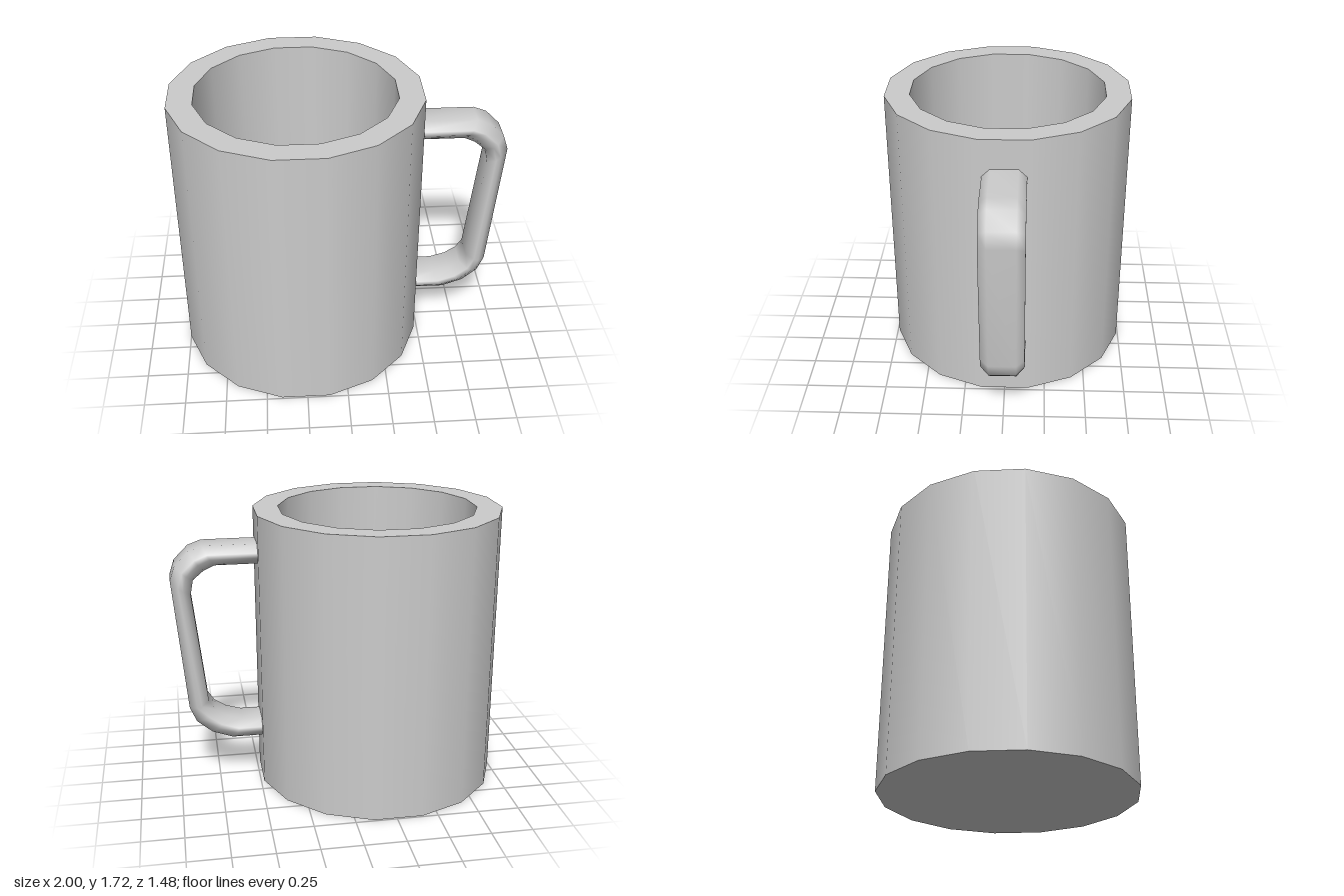
import * as THREE from 'three';

const material = new THREE.MeshStandardMaterial({ color: 0xcccccc });
const SIDES = 16, CENTRE_X = -0.26;

// Cup: one lathe per profile segment, so the rims stay sharp and the walls smooth
function createCup() {
  const cup = new THREE.Group();
  cup.name = 'cup';
  const outer = 0.755, inner = 0.602, height = 1.72, floor = 0.15;
  const profile = [[0, 0], [outer, 0], [outer, height], [inner, height], [inner, floor], [0, floor]]
    .map(([r, y]) => new THREE.Vector2(r, y));
  const names = ['base', 'outerWall', 'rim', 'innerWall', 'innerFloor'];
  names.forEach((name, i) => {
    const geometry = new THREE.LatheGeometry([profile[i], profile[i + 1]], SIDES, Math.PI / SIDES);
    const mesh = new THREE.Mesh(geometry, material);
    mesh.name = name;
    cup.add(mesh);
  });
  cup.position.x = CENTRE_X;
  return cup;
}

// Handle: a chamfered flat strap swept through stations of outer and inner edge points
function createHandle() {
  const stations = [ // outer x, y, inner x, y
    [0.42, 1.54, 0.42, 1.42],
    [0.805, 1.54, 0.735, 1.42],
    [0.885, 1.51, 0.80, 1.39],
    [0.97, 1.425, 0.865, 1.335],
    [1.0, 1.335, 0.882, 1.245],
    [0.925, 0.515, 0.805, 0.55],
    [0.885, 0.42, 0.765, 0.49],
    [0.79, 0.34, 0.695, 0.445],
    [0.665, 0.295, 0.60, 0.417],
    [0.42, 0.295, 0.42, 0.417],
  ];
  // Cross-section: fraction from outer to inner edge, and z
  const half = [[0, 0.08], [0.38, 0.128], [0.62, 0.128], [1, 0.08]];
  const section = [...half, ...half.map(([t, z]) => [t, -z]).reverse()];
  const n = section.length;
  const positions = [], index = [];
  stations.forEach(([ox, oy, ix, iy], i) => {
    section.forEach(([t, z], j) => {
      positions.push(ox + (ix - ox) * t, oy + (iy - oy) * t, z);
      if (i === stations.length - 1) return;
      const a = i * n + j, c = i * n + (j + 1) % n;
      index.push(a, c, a + n, a + n, c, c + n);
    });
  });
  const geometry = new THREE.BufferGeometry();
  geometry.setAttribute('position', new THREE.Float32BufferAttribute(positions, 3));
  geometry.setIndex(index);
  geometry.computeVertexNormals();
  const handle = new THREE.Mesh(geometry, material);
  handle.name = 'handle';
  return handle;
}

export function createModel() {
  const mug = new THREE.Group();
  mug.name = 'mug';
  mug.add(createCup(), createHandle());
  return mug;
}
